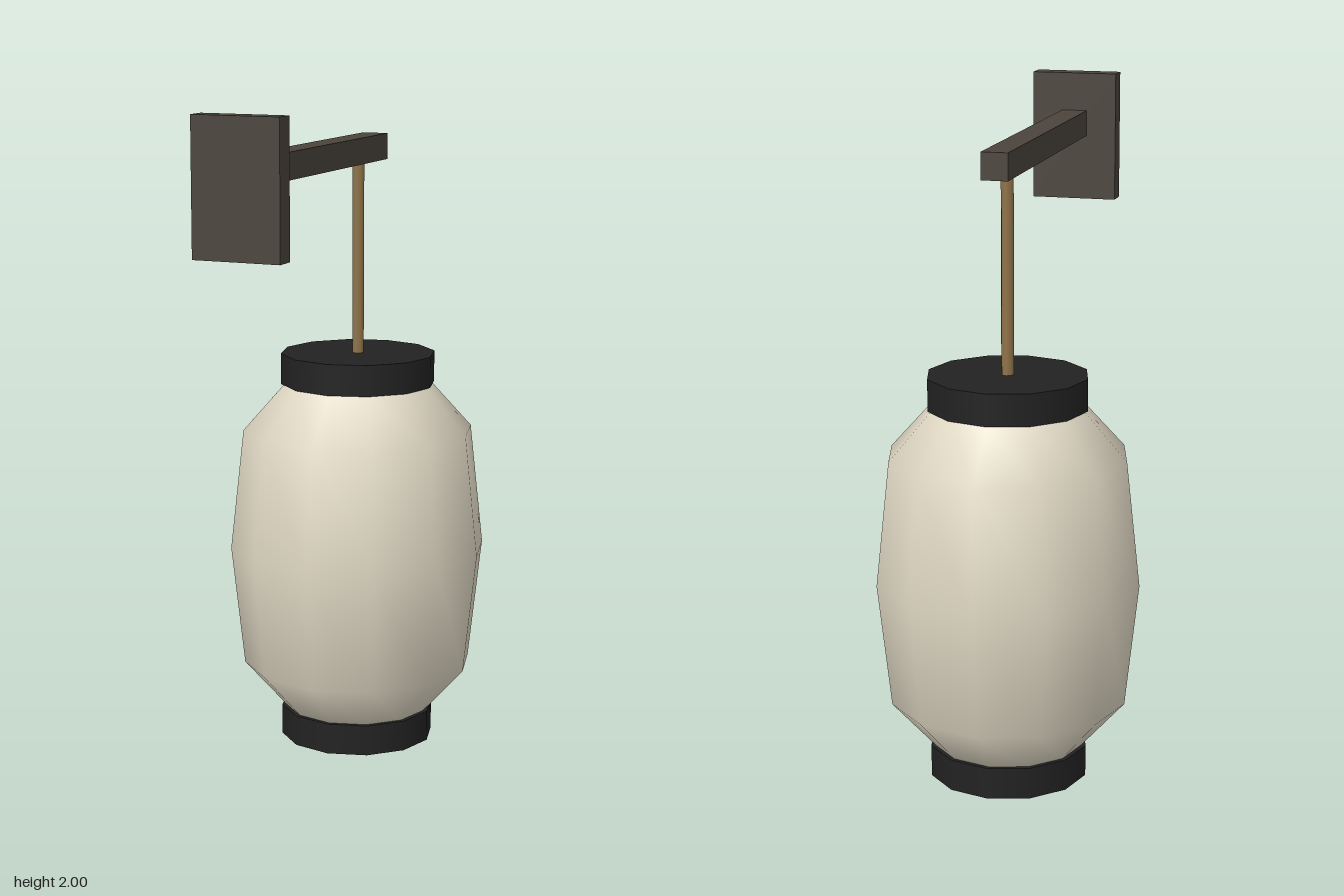
import * as THREE from 'three';

const material = (name, color, side = THREE.FrontSide) =>
  Object.assign(new THREE.MeshStandardMaterial({ color, side }), { name });

export function createModel() {
  const paper = material('paper', 0xe0d8c4, THREE.DoubleSide);
  const black = material('black lacquer', 0x222222);
  const wood = material('dark wood', 0x4a443c);
  const cord = material('cord', 0x8f7348);

  const model = new THREE.Group();
  model.name = 'wallLantern';
  const add = (name, geometry, mat, y, z) => {
    const mesh = new THREE.Mesh(geometry, mat);
    mesh.name = name;
    mesh.position.set(0, y, z);
    model.add(mesh);
  };

  const sides = 12;
  const lanternZ = -0.233;

  // Barrel-shaped paper shade, smooth around a twelve-sided outline
  const profile = [[0.225, 0.095], [0.355, 0.24], [0.396, 0.612], [0.355, 0.985], [0.225, 1.13]]
    .map(([r, y]) => new THREE.Vector2(r, y));
  add('paperShade', new THREE.LatheGeometry(profile, sides), paper, 0, lanternZ);

  // Matching end caps
  const cap = new THREE.CylinderGeometry(0.238, 0.238, 0.095, sides);
  add('bottomCap', cap, black, 0.0475, lanternZ);
  add('topCap', cap, black, 1.175, lanternZ);

  // Cord from the top cap up to the arm
  add('hangingCord', new THREE.CylinderGeometry(0.019, 0.019, 0.6, 8), cord, 1.515, lanternZ);

  // Wall bracket
  add('bracketArm', new THREE.BoxGeometry(0.079, 0.079, 0.933), wood, 1.844, 0.0985);
  add('wallPlate', new THREE.BoxGeometry(0.264, 0.394, 0.064), wood, 1.803, 0.597);

  return model;
}
